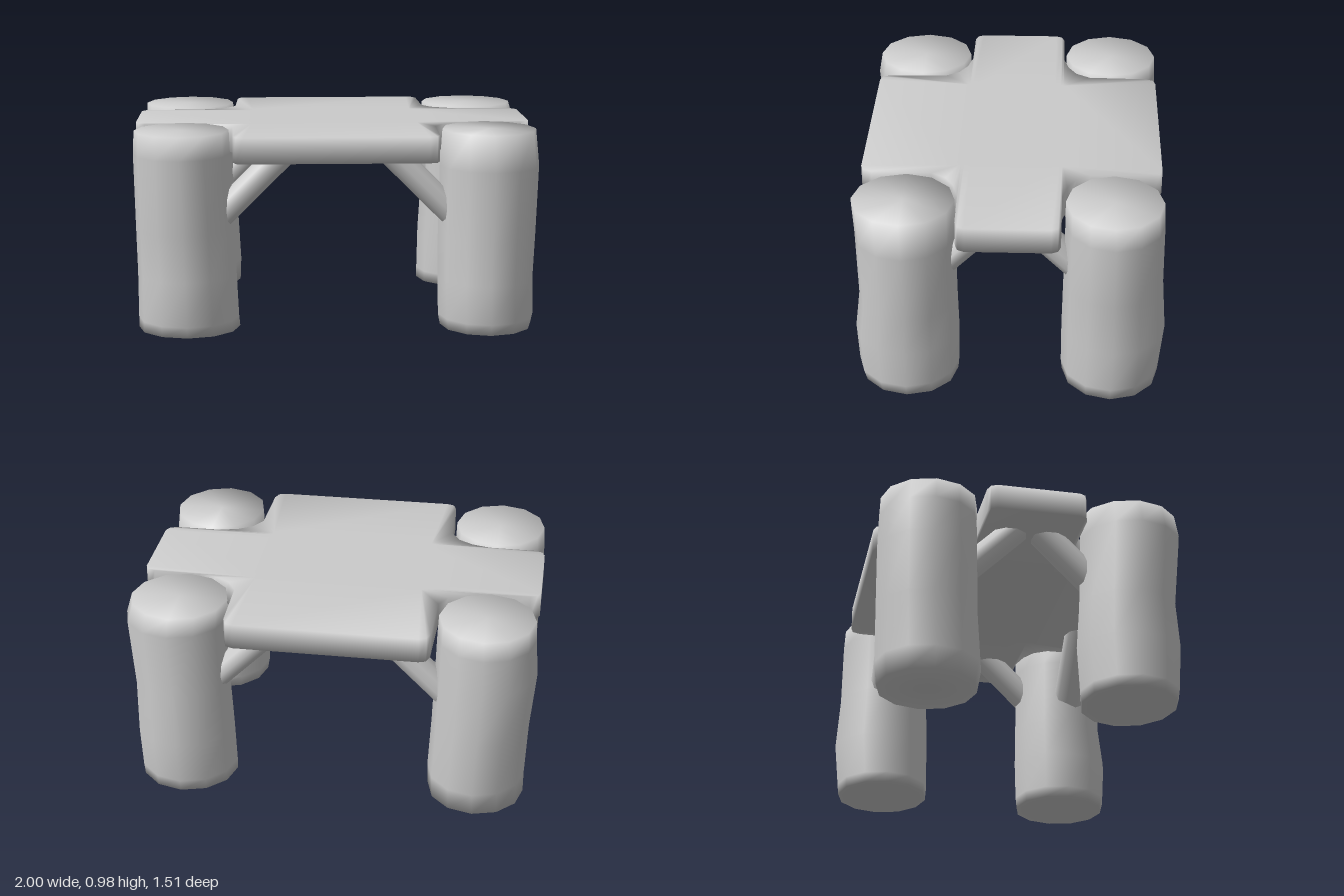
import * as THREE from 'three';

const grey = new THREE.MeshStandardMaterial({ color: 0xcccccc });

// Smooth closed solid through rings of [x, y, z] points, bottom to top, with fan caps.
function loft(rings) {
  const n = rings[0].length, pos = rings.flat(2), idx = [];
  const centre = (ring) => [0, 1, 2].map((k) => ring.reduce((s, p) => s + p[k], 0) / n);
  const last = rings.length - 1, low = rings.length * n, high = low + 1;
  pos.push(...centre(rings[0]), ...centre(rings[last]));
  for (let j = 0; j < n; j++) {
    const k = (j + 1) % n;
    for (let i = 0; i < last; i++) {
      const a = i * n + j, b = i * n + k;
      idx.push(a, a + n, b, b, a + n, b + n);
    }
    idx.push(low, j, k, high, last * n + k, last * n + j);
  }
  const geo = new THREE.BufferGeometry();
  geo.setAttribute('position', new THREE.Float32BufferAttribute(pos, 3));
  geo.setIndex(idx);
  geo.computeVertexNormals();
  return geo;
}

// Cross-shaped slab: one quadrant of the outline, mirrored round.
function tabletop() {
  const q = [[0.98, 0.2], [0.965, 0.23], [0.93, 0.243], [0.7, 0.245], [0.61, 0.268], [0.54, 0.31],
    [0.497, 0.38], [0.49, 0.67], [0.475, 0.71], [0.44, 0.722]];
  const mirror = (sx, sz) => q.map(([x, z]) => [x * sx - 0.008, z * sz - 0.003]);
  const outline = [...mirror(1, 1), ...mirror(-1, 1).reverse(), ...mirror(-1, -1), ...mirror(1, -1).reverse()];
  const edge = (y) => outline.map(([x, z]) => [x, y, z]);
  // flat middle: the outline clamped to a rectangle
  const middle = (y) => outline.map(([x, z]) => [
    THREE.MathUtils.clamp(x, -0.41, 0.41), y, THREE.MathUtils.clamp(z, -0.25, 0.25)]);
  return loft([middle(0.85), edge(0.85), edge(0.975), middle(0.975)]);
}

// Each leg section: height, x from, x to, z from, z to
const legs = {
  frontLeftLeg: [
    [0.005, 0.51, 0.96, 0.25, 0.72], [0.06, 0.5, 0.97, 0.245, 0.735], [0.25, 0.495, 0.965, 0.24, 0.745],
    [0.45, 0.495, 0.975, 0.245, 0.72], [0.8, 0.5, 0.985, 0.25, 0.725], [0.98, 0.51, 0.965, 0.25, 0.735]],
  frontRightLeg: [
    [0.005, -0.97, -0.475, 0.25, 0.71], [0.06, -0.97, -0.48, 0.245, 0.725], [0.28, -0.97, -0.49, 0.23, 0.74],
    [0.5, -0.975, -0.5, 0.245, 0.72], [0.87, -0.98, -0.515, 0.255, 0.755], [0.98, -0.975, -0.52, 0.255, 0.735]],
  backLeftLeg: [
    [0.005, 0.48, 0.965, -0.73, -0.26], [0.06, 0.48, 0.97, -0.735, -0.255], [0.28, 0.485, 0.975, -0.755, -0.255],
    [0.55, 0.5, 0.975, -0.735, -0.26], [0.88, 0.505, 1, -0.73, -0.265], [0.98, 0.5, 0.97, -0.725, -0.265]],
  backRightLeg: [
    [0.005, -0.965, -0.49, -0.72, -0.25], [0.12, -0.965, -0.485, -0.73, -0.23], [0.4, -0.975, -0.5, -0.735, -0.25],
    [0.7, -1, -0.51, -0.74, -0.255], [0.88, -0.985, -0.515, -0.735, -0.26], [0.98, -0.98, -0.52, -0.73, -0.26]],
};

// Faceted, slightly irregular post
function leg(rows, sides = 12) {
  return loft(rows.map(([y, x0, x1, z0, z1]) => Array.from({ length: sides }, (_, i) => {
    const a = (i / sides) * Math.PI * 2;
    return [(x0 + x1) / 2 + (x1 - x0) / 2 * Math.cos(a), y, (z0 + z1) / 2 + (z1 - z0) / 2 * Math.sin(a)];
  })));
}

// Oval strut between two points
function brace(name, from, to) {
  const a = new THREE.Vector3(...from), b = new THREE.Vector3(...to);
  const geo = new THREE.CylinderGeometry(0.066, 0.066, a.distanceTo(b), 10);
  const alongX = from[2] === to[2];
  geo.scale(alongX ? 1 : 1.3, 1, alongX ? 1.3 : 1);
  const mesh = new THREE.Mesh(geo, grey);
  mesh.name = name;
  mesh.position.copy(a).add(b).multiplyScalar(0.5);
  mesh.quaternion.setFromUnitVectors(new THREE.Vector3(0, 1, 0), b.sub(a).normalize());
  return mesh;
}

export function createModel() {
  const model = new THREE.Group();
  model.name = 'table';
  const add = (name, geo) => {
    const mesh = new THREE.Mesh(geo, grey);
    mesh.name = name;
    model.add(mesh);
  };
  add('tabletop', tabletop());
  for (const [name, rows] of Object.entries(legs)) add(name, leg(rows));
  // two diagonal braces from every leg to the underside
  for (const sx of [1, -1]) for (const sz of [1, -1]) {
    model.add(brace('crossBrace', [sx * 0.6, 0.53, sz * 0.51], [sx * 0.24, 0.89, sz * 0.51]));
    model.add(brace('sideBrace', [sx * 0.73, 0.57, sz * 0.38], [sx * 0.73, 0.89, sz * 0.06]));
  }
  return model;
}
